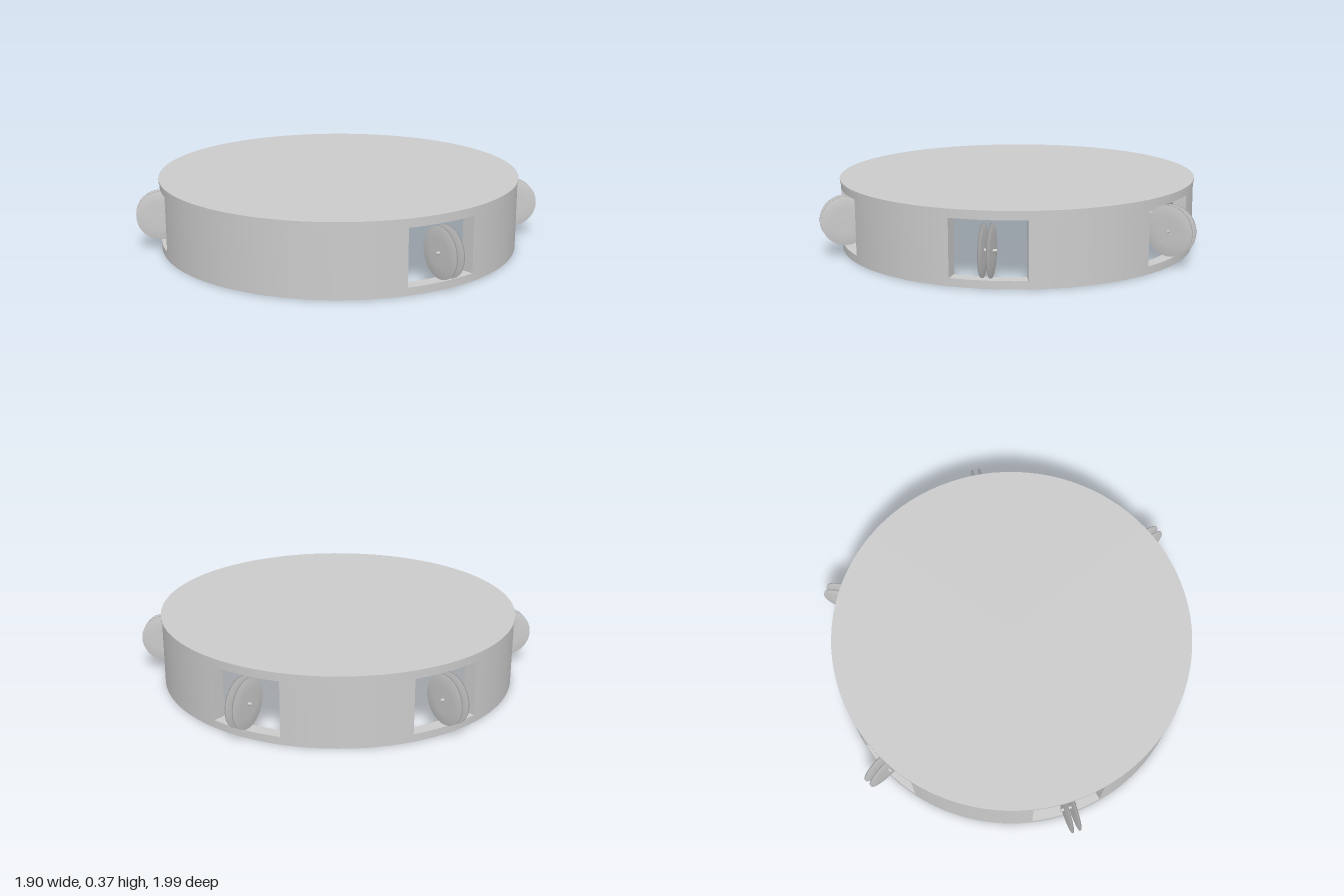
import * as THREE from 'three';
import { toCreasedNormals } from 'three/addons/utils/BufferGeometryUtils.js';

const R_OUT = 0.932, R_IN = 0.865;          // wooden frame radii
const WIN_LOW = 0.04, WIN_HIGH = 0.325;     // jingle window heights
const FRAME_TOP = 0.358, HEAD_TOP = 0.37;
const RAD = Math.PI / 180;
const HALF_WINDOW = 11.5;                   // degrees
const WINDOWS = [-34.7, 27.6, 90, 152.4, 214.7]; // degrees from +x towards -z

export function createModel() {
  const model = new THREE.Group();
  model.name = 'tambourine';
  model.position.z = 0.063;
  const material = new THREE.MeshStandardMaterial({ color: 0xcccccc });

  const add = (parent, name, geometry) => {
    const mesh = new THREE.Mesh(geometry, material);
    mesh.name = name;
    parent.add(mesh);
    return mesh;
  };

  // Extrude a plan shape upwards between two heights
  const raise = (shape, y0, y1, segments) => {
    const g = new THREE.ExtrudeGeometry(shape, { depth: y1 - y0, bevelEnabled: false, curveSegments: segments });
    g.rotateX(-Math.PI / 2);
    g.translate(0, y0, 0);
    return toCreasedNormals(g, 30 * RAD);
  };

  // Full hoops below and above the windows
  const hoop = new THREE.Shape().absarc(0, 0, R_OUT, 0, Math.PI * 2, false);
  hoop.holes.push(new THREE.Path().absarc(0, 0, R_IN, 0, Math.PI * 2, true));
  add(model, 'lowerHoop', raise(hoop, 0, WIN_LOW, 96));
  add(model, 'upperHoop', raise(hoop, WIN_HIGH, FRAME_TOP, 96));

  // Curved wall sections between neighbouring windows
  WINDOWS.forEach((angle, i) => {
    const next = i < 4 ? WINDOWS[i + 1] : WINDOWS[0] + 360;
    const a = (angle + HALF_WINDOW) * RAD, b = (next - HALF_WINDOW) * RAD;
    const wall = new THREE.Shape();
    wall.absarc(0, 0, R_OUT, a, b, false);
    wall.absarc(0, 0, R_IN, b, a, true);
    wall.closePath();
    add(model, 'wallSection', raise(wall, WIN_LOW, WIN_HIGH, Math.round((b - a) / (3.75 * RAD))));
  });

  // Drum head
  const head = new THREE.CylinderGeometry(0.937, 0.937, HEAD_TOP - FRAME_TOP, 96);
  add(model, 'drumHead', head).position.y = (HEAD_TOP + FRAME_TOP) / 2;

  // Slightly domed jingle discs, in pairs on a short pin
  const disc = new THREE.LatheGeometry([
    [0, -0.006], [0.07, -0.006], [0.127, -0.004],
    [0.127, 0.004], [0.07, 0.006], [0, 0.006],
  ].map(([x, y]) => new THREE.Vector2(x, y)), 40);
  const pin = new THREE.CylinderGeometry(0.008, 0.008, 0.09, 12);

  for (const angle of WINDOWS) {
    const pair = new THREE.Group();
    pair.name = 'jinglePair';
    pair.rotation.y = angle * RAD;
    // Local x is radial and local z is tangential
    for (const side of [-1, 1]) {
      const jingle = add(pair, 'jingle', disc);
      jingle.rotation.x = Math.PI / 2;
      jingle.position.set(0.93, 0.183, side * 0.02);
    }
    const axle = add(pair, 'jinglePin', pin);
    axle.rotation.x = Math.PI / 2;
    axle.position.set(0.93, 0.183, 0);
    model.add(pair);
  }

  const root = new THREE.Group();
  root.add(model);
  return root;
}
